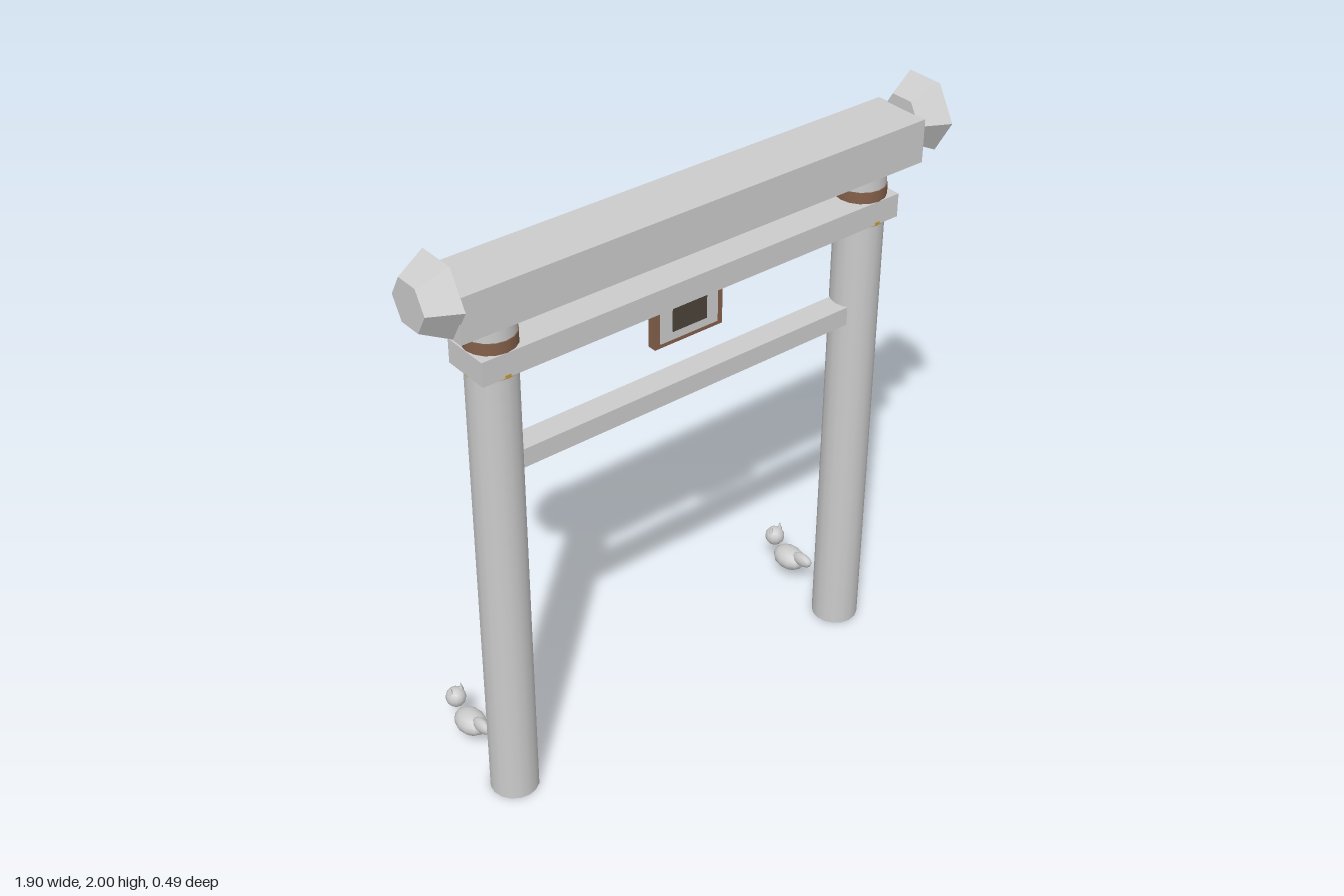
import * as THREE from 'three';

const GATE_Z = 0.117;

const material = (color, flatShading = false) => new THREE.MeshStandardMaterial({ color, flatShading });
const grey = material(0xcccccc);
const greyFlat = material(0xcccccc, true);
const brown = material(0x84604a);
const gold = material(0xc09a3a);
const dark = material(0x4c443a);

function add(parent, name, geometry, mat, x, y, z) {
  const mesh = new THREE.Mesh(geometry, mat);
  mesh.name = name;
  mesh.position.set(x, y, z);
  parent.add(mesh);
  return mesh;
}

const box = (w, h, d) => new THREE.BoxGeometry(w, h, d);
const drum = (r, h) => new THREE.CylinderGeometry(r, r, h, 16);

// Small seated animal looking towards the back, tail towards the gate
function createGuardian() {
  const guardian = new THREE.Group();
  guardian.name = 'guardian';
  const ball = new THREE.SphereGeometry(1, 12, 8);
  add(guardian, 'body', ball, grey, 0, 0.084, -0.13).scale.set(0.049, 0.04, 0.066);
  add(guardian, 'head', ball, grey, 0, 0.134, -0.212).scale.setScalar(0.035);
  const tail = add(guardian, 'tail', ball, grey, 0, 0.112, -0.062);
  tail.scale.set(0.02, 0.025, 0.047);
  tail.rotation.x = -0.15;
  for (const side of [-1, 1]) {
    add(guardian, 'ear', new THREE.ConeGeometry(0.012, 0.032, 4), greyFlat, side * 0.02, 0.17, -0.21);
  }
  return guardian;
}

export function createModel() {
  const model = new THREE.Group();
  model.name = 'gate';

  const gate = new THREE.Group();
  gate.name = 'gateFrame';
  gate.position.z = GATE_Z;
  model.add(gate);

  // Posts with their bands, roof-beam end caps and guardians
  for (const side of [-1, 1]) {
    const x = side * 0.7;
    add(gate, 'post', drum(0.08, 1.78), grey, x, 0.89, 0);
    add(gate, 'postBand', drum(0.083, 0.04), brown, x, 1.7, 0);
    add(gate, 'postRing', drum(0.085, 0.012), gold, x, 1.605, 0);

    // Both hexagonal caps widen towards +x
    const cap = new THREE.CylinderGeometry(0.13, 0.08, 0.096, 6);
    cap.rotateZ(-Math.PI / 2);
    add(gate, 'beamEndCap', cap, greyFlat, side * 0.902, 1.888, 0);

    const guardian = createGuardian();
    guardian.position.x = x;
    model.add(guardian);
  }

  // Horizontal beams
  add(gate, 'roofBeam', box(1.716, 0.145, 0.204), grey, 0, 1.848, 0);
  add(gate, 'upperTieBeam', box(1.57, 0.08, 0.166), grey, 0, 1.642, 0);
  add(gate, 'lowerTieBeam', box(1.264, 0.064, 0.085), grey, 0, 1.275, 0);

  // Hanging plaque
  const plaque = new THREE.Group();
  plaque.name = 'plaque';
  plaque.position.y = 1.523;
  gate.add(plaque);
  add(plaque, 'plaqueFrame', box(0.26, 0.186, 0.03), brown, 0, 0, 0);
  add(plaque, 'plaquePanel', box(0.22, 0.156, 0.008), grey, 0, 0, 0.014);
  add(plaque, 'plaqueInset', box(0.13, 0.098, 0.008), dark, 0, 0, 0.017);

  return model;
}
